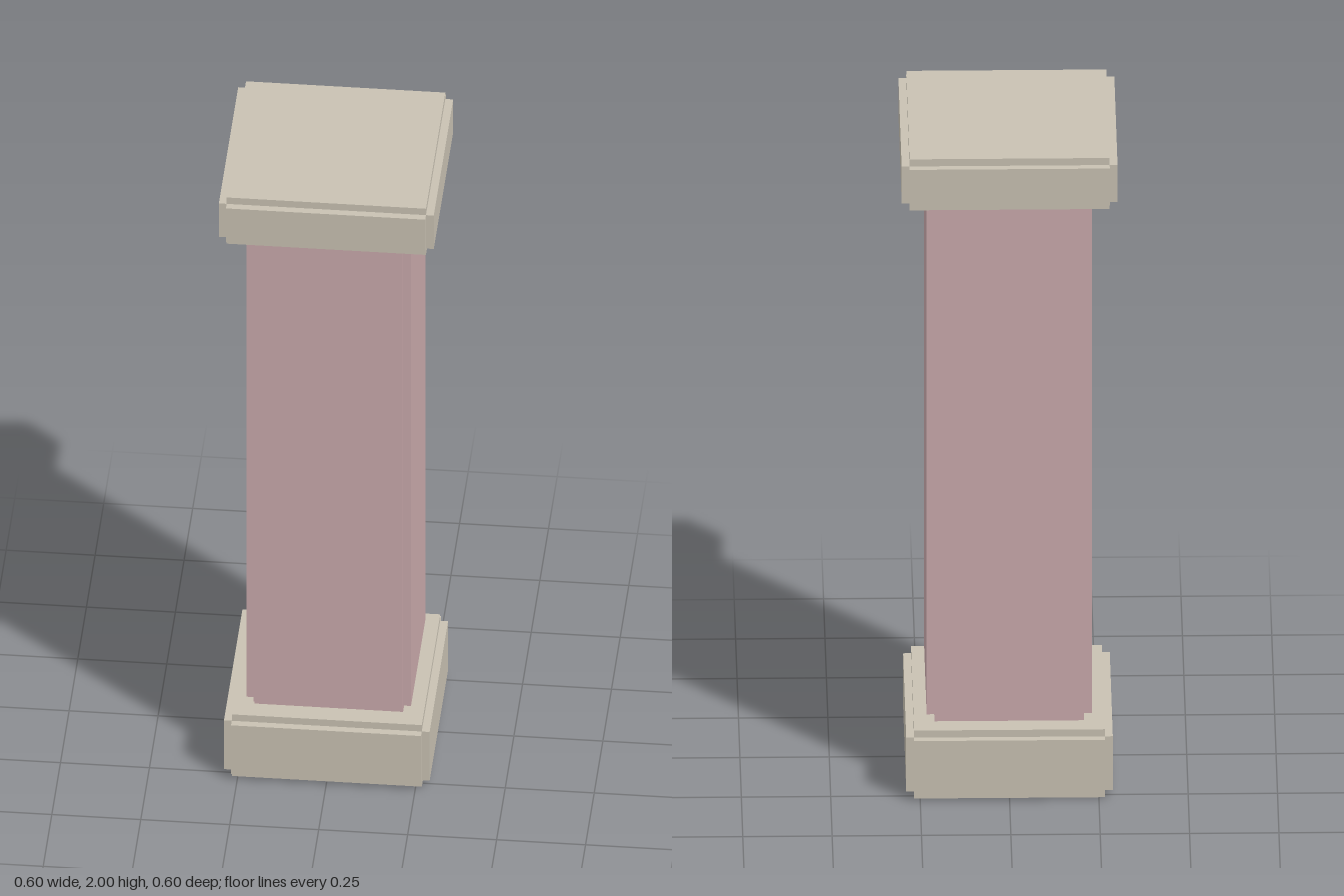
import * as THREE from 'three';

const STEP = 0.022; // depth of the notch running along every edge

// Block with notched edges: three crossing boxes, each reaching full size along one axis
function notchedBlock(name, width, bottom, top, material) {
  const block = new THREE.Group();
  block.name = name;
  const size = [width, top - bottom, width];
  ['acrossX', 'acrossY', 'acrossZ'].forEach((label, axis) => {
    const dims = size.map((s, i) => (i === axis ? s : s - 2 * STEP));
    const slab = new THREE.Mesh(new THREE.BoxGeometry(...dims), material);
    slab.name = `${name}_${label}`;
    block.add(slab);
  });
  block.position.y = (bottom + top) / 2;
  return block;
}

export function createModel() {
  const stone = new THREE.MeshStandardMaterial({ color: 0xc8c1b2 });
  stone.name = 'paleStone';
  const pink = new THREE.MeshStandardMaterial({ color: 0xc9a9ab });
  pink.name = 'dustyPink';

  const pillar = new THREE.Group();
  pillar.name = 'pillar';
  pillar.add(
    notchedBlock('base', 0.578, 0, 0.212, stone),
    notchedBlock('shaft', 0.462, 0.212, 1.841, pink),
    notchedBlock('capital', 0.604, 1.841, 2, stone),
  );
  return pillar;
}
